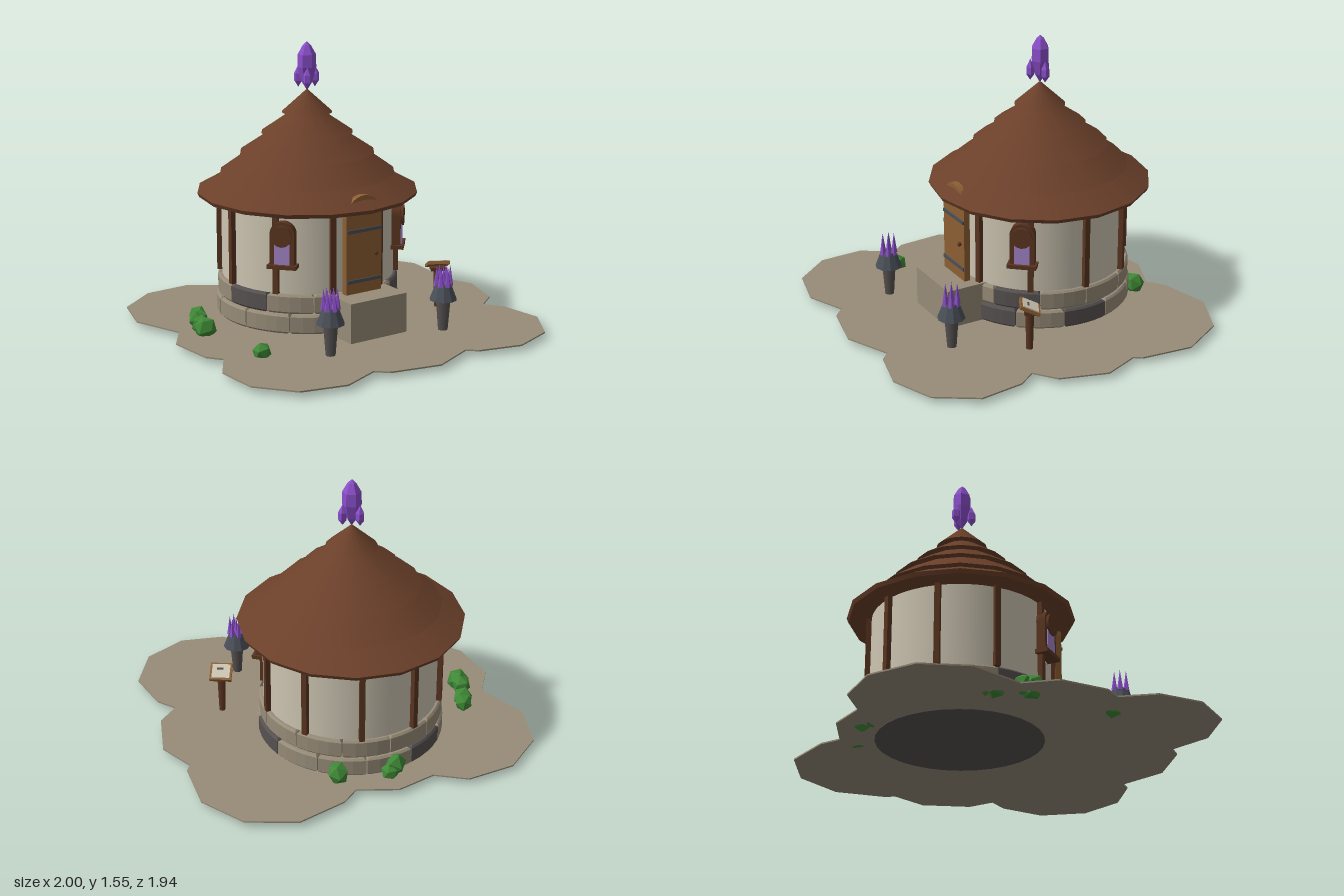
import * as THREE from 'three';

const paint = (name, color, flat = false) => {
  const m = new THREE.MeshStandardMaterial({ color, flatShading: flat });
  m.name = name;
  return m;
};

export function createModel() {
  const wall = paint('plaster', 0xcdc5b2);
  const stone = paint('sandstone', 0x978c78);
  const darkStone = paint('dark stone', 0x565150);
  const shingle = paint('roof brown', 0x6b402a);
  const timber = paint('timber', 0x5a3520);
  const oak = paint('oak', 0x8c5f33);
  const metal = paint('dark metal', 0x4a4f58, true);
  const crystal = paint('crystal purple', 0x8b4fcb, true);
  const pane = paint('lavender glass', 0xa083c6);
  const leaf = paint('leaf green', 0x3f8836, true);

  const model = new THREE.Group();
  const house = new THREE.Group();
  house.name = 'house';
  house.position.set(-0.035, 0, -0.24);
  model.add(house);

  const add = (parent, name, geo, mat, x = 0, y = 0, z = 0) => {
    const m = new THREE.Mesh(geo, mat);
    m.name = name;
    m.position.set(x, y, z);
    parent.add(m);
    return m;
  };
  const box = (w, h, d) => new THREE.BoxGeometry(w, h, d);
  const cyl = (top, bottom, h, n, open = false) => new THREE.CylinderGeometry(top, bottom, h, n, 1, open);
  const rad = THREE.MathUtils.degToRad;
  // Group on the house axis whose +z points out at the given angle from the front
  const around = (name, deg) => {
    const g = new THREE.Group();
    g.name = name;
    g.rotation.y = rad(deg);
    house.add(g);
    return g;
  };
  // Arched slab standing on y = 0, facing +z
  const archSlab = (w, h, d) => {
    const s = new THREE.Shape();
    s.moveTo(-w / 2, 0);
    s.lineTo(w / 2, 0);
    s.lineTo(w / 2, h - w / 2);
    s.absarc(0, h - w / 2, w / 2, 0, Math.PI, false);
    return new THREE.ExtrudeGeometry(s, { depth: d, bevelEnabled: false, curveSegments: 8 });
  };

  // Scalloped ground plate
  const outline = [
    [-.66, -.97], [-.39, -.98], [-.23, -.87], [-.01, -.91], [.2, -.82], [.3, -.89], [.58, -.95], [.84, -.83],
    [.98, -.58], [.95, -.29], [.92, -.25], [1, -.05], [.92, .21], [.8, .30], [.87, .40], [.9, .65],
    [.76, .87], [.52, .96], [.28, .90], [.23, .85], [-.02, .96], [-.3, .90], [-.36, .84], [-.58, .93],
    [-.83, .87], [-.99, .67], [-1, .42], [-.89, .25], [-.95, .17], [-.97, -.1], [-.86, -.26], [-.96, -.55], [-.88, -.81]];
  const groundGeo = new THREE.ExtrudeGeometry(
    new THREE.Shape(outline.map(([x, z]) => new THREE.Vector2(x, -z))), { depth: 0.008, bevelEnabled: false });
  groundGeo.rotateX(-Math.PI / 2);
  add(model, 'ground', groundGeo, stone, 0, 0.037, 0);

  // Foundation: dark core with two staggered rings of bevelled blocks
  add(house, 'foundationCore', cyl(0.445, 0.445, 0.228, 32), darkStone, 0, 0.148, 0);
  const blockGeo = (r) => {
    const pts = [];
    const half = rad(13.6);
    for (let i = 0; i <= 4; i++) pts.push([r, -half + half * i / 2]);
    for (let i = 4; i >= 0; i--) pts.push([0.43, -half + half * i / 2]);
    const s = new THREE.Shape(pts.map(([q, a]) => new THREE.Vector2(q * Math.sin(a), -q * Math.cos(a))));
    const g = new THREE.ExtrudeGeometry(s, {
      depth: 0.084, bevelThickness: 0.011, bevelSize: 0.01, bevelSegments: 1 });
    return g.rotateX(-Math.PI / 2);
  };
  const rows = [
    { y: 0.057, r: 0.5, start: 0, dark: [30, 90, 210] },
    { y: 0.167, r: 0.492, start: 15, dark: [45, 285] }];
  for (const row of rows) {
    const geo = blockGeo(row.r);
    for (let i = 0; i < 12; i++) {
      const a = row.start + i * 30;
      add(around('foundationBlock', a), 'block', geo, row.dark.includes(a) ? darkStone : stone, 0, row.y, 0);
    }
  }
  add(house, 'doorStep', box(0.365, 0.22, 0.3), stone, 0, 0.155, 0.53);

  // Round wall and its ten posts
  add(house, 'wall', cyl(0.48, 0.48, 0.475, 40), wall, 0, 0.5, 0);
  for (let i = 0; i < 10; i++) {
    add(around('post', 18 + i * 36), 'postBeam', box(0.03, 0.46, 0.04), timber, 0, 0.495, 0.487);
  }

  // Stepped shingle roof
  add(house, 'eave', cyl(0.615, 0.605, 0.022, 16), shingle, 0, 0.724, 0);
  const tiers = [[0.615, 0.735], [0.49, 0.83], [0.375, 0.945], [0.255, 1.055], [0.14, 1.165]];
  tiers.forEach(([r, y], i) => {
    const next = tiers[i + 1] || [0.04, 1.29];
    const top = i === 4 ? 0.004 : next[0] - 0.045;
    add(house, 'roofTier', cyl(top, r, next[1] - y, 16), shingle, 0, (y + next[1]) / 2, 0);
  });

  // Arched door with straps and handle
  add(house, 'door', archSlab(0.23, 0.54, 0.035), oak, 0, 0.262, 0.505);
  for (const y of [0.335, 0.612]) add(house, 'doorStrap', box(0.225, 0.018, 0.008), metal, 0, y, 0.543);
  add(house, 'doorHandle', new THREE.SphereGeometry(0.012, 8, 6), timber, 0.075, 0.475, 0.548);

  // Arched windows either side of the door
  for (const side of [-1, 1]) {
    const w = around('window', side * 49);
    add(w, 'windowFrame', archSlab(0.135, 0.245, 0.05), timber, 0, 0.425, 0.475);
    add(w, 'windowPane', box(0.085, 0.125, 0.006), pane, 0, 0.5, 0.527);
    const hood = add(w, 'windowHood', cyl(0.058, 0.058, 0.02, 14), timber, 0, 0.593, 0.53);
    hood.rotation.x = Math.PI / 2;
    add(w, 'windowSill', box(0.16, 0.022, 0.075), timber, 0, 0.425, 0.505);
  }

  // Crystal finial with three small shards
  const gem = (pts, n) => new THREE.LatheGeometry(pts.map(([r, y]) => new THREE.Vector2(r, y)), n);
  const finial = new THREE.Group();
  finial.name = 'crystalFinial';
  finial.position.y = 1.285;
  house.add(finial);
  add(finial, 'mainCrystal', gem([[0, 0], [0.03, 0.05], [0.052, 0.13], [0.05, 0.2], [0.022, 0.25], [0, 0.27]], 6), crystal);
  const shardGeo = gem([[0, 0], [0.024, 0.035], [0.024, 0.075], [0, 0.12]], 5);
  for (let i = 0; i < 3; i++) {
    const a = rad(90 + i * 120);
    add(finial, 'shard', shardGeo, crystal, 0.053 * Math.sin(a), 0.015, 0.053 * Math.cos(a));
  }

  // Crystal torches
  for (const x of [-0.405, 0.335]) {
    const t = new THREE.Group();
    t.name = 'torch';
    t.position.set(x, 0, 0.52);
    model.add(t);
    add(t, 'torchPole', cyl(0.04, 0.026, 0.18, 8), darkStone, 0, 0.13, 0);
    add(t, 'torchCollar', cyl(0.042, 0.076, 0.09, 10), metal, 0, 0.26, 0);
    for (let i = 0; i < 7; i++) {
      const a = i * Math.PI / 3;
      const r = i < 6 ? 0.036 : 0;
      add(t, 'torchSpike', cyl(0, 0.018, 0.115, 5), crystal, r * Math.sin(a), 0.35, r * Math.cos(a));
    }
  }

  // Tilted notice board on a post
  const sign = new THREE.Group();
  sign.name = 'noticeBoard';
  sign.position.set(0.565, 0, 0.175);
  sign.rotation.y = rad(-28);
  model.add(sign);
  add(sign, 'signPost', cyl(0.024, 0.018, 0.235, 6), timber, 0, 0.158, 0);
  add(sign, 'signBracket', box(0.08, 0.02, 0.06), timber, 0, 0.268, 0);
  const board = new THREE.Group();
  board.name = 'board';
  board.position.y = 0.292;
  board.rotation.x = rad(-24);
  sign.add(board);
  add(board, 'boardPanel', box(0.122, 0.018, 0.112), oak);
  add(board, 'parchment', box(0.1, 0.006, 0.09), wall, 0, 0.011, 0);
  add(board, 'inkMark', box(0.035, 0.003, 0.012), darkStone, 0.005, 0.015, 0.015);

  // Bushes: x, z, radius
  const bushes = [
    [-0.76, -0.15, 0.064], [-0.755, -0.2, 0.054], [-0.705, -0.315, 0.058], [-0.68, -0.365, 0.052], [-0.7, 0.32, 0.052],
    [-0.06, -0.745, 0.064], [-0.02, -0.77, 0.05], [0.25, -0.7, 0.06]];
  bushes.forEach(([x, z, r], i) => {
    const b = add(model, 'bush', new THREE.IcosahedronGeometry(r, 0), leaf, x, 0.012 + r + (i % 2) * 0.015, z);
    b.rotation.set(0.55, i * 1.3, 0);
    b.scale.y = 1.1;
  });
  return model;
}
